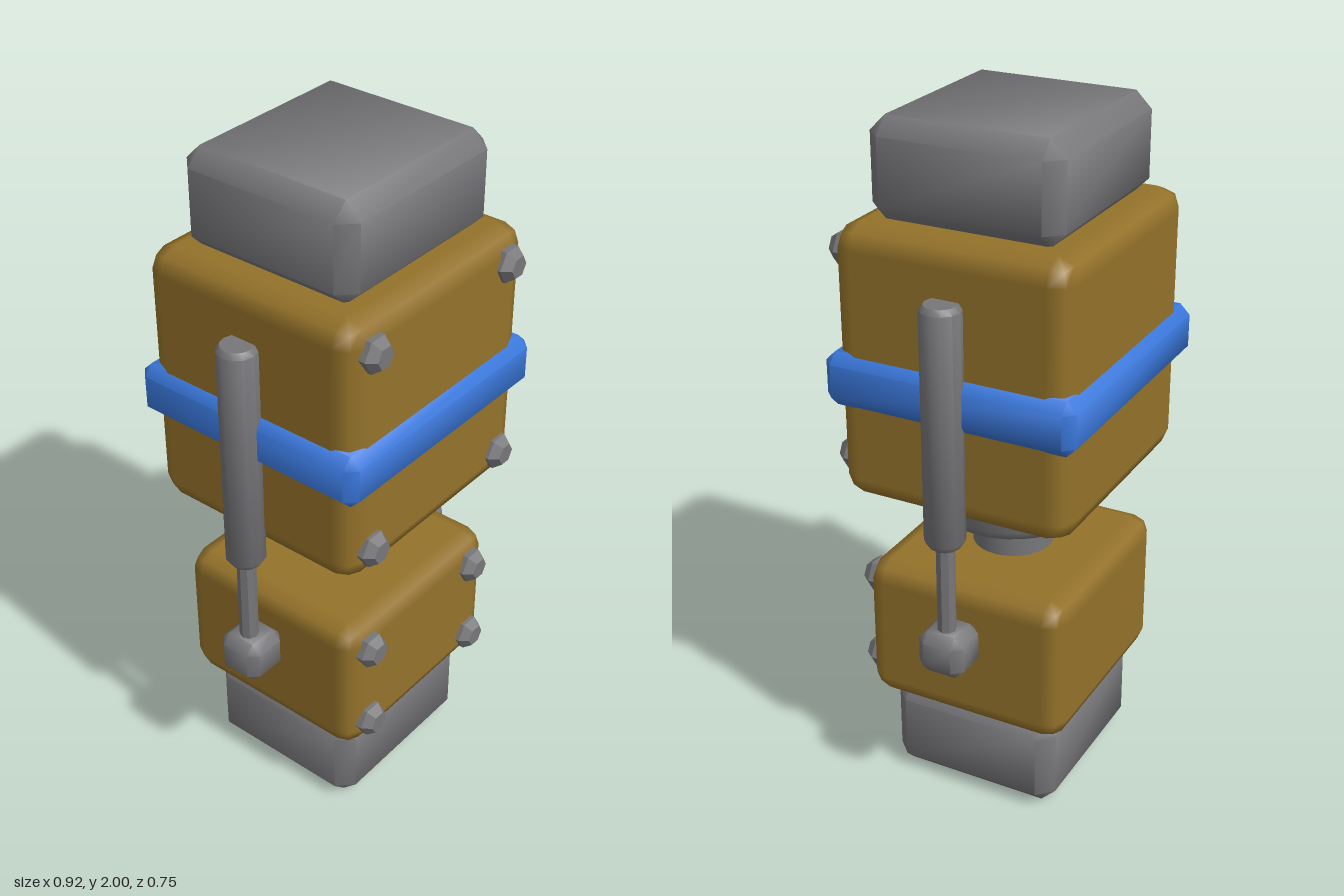
import * as THREE from 'three';
import { toCreasedNormals } from 'three/addons/utils/BufferGeometryUtils.js';
import { RoundedBoxGeometry } from 'three/addons/geometries/RoundedBoxGeometry.js';
import { ConvexGeometry } from 'three/addons/geometries/ConvexGeometry.js';

const CZ = -0.005; // depth of the main axis

const grey = new THREE.MeshStandardMaterial({ color: 0x77777a });
const ochre = new THREE.MeshStandardMaterial({ color: 0x94722a });
const blue = new THREE.MeshStandardMaterial({ color: 0x3a78dc });

// Box with a single 45 degree chamfer on every edge
function chamferBox(w, h, d, c) {
  const points = [];
  for (const sx of [-1, 1]) for (const sy of [-1, 1]) for (const sz of [-1, 1]) {
    for (let axis = 0; axis < 3; axis++) {
      const inset = [c, c, c];
      inset[axis] = 0;
      points.push(new THREE.Vector3(
        sx * (w / 2 - inset[0]), sy * (h / 2 - inset[1]), sz * (d / 2 - inset[2])));
    }
  }
  return toCreasedNormals(new ConvexGeometry(points), 1.0);
}

// Turned part: profile of [radius, height] pairs from bottom to top
function turned(profile, sides, crease) {
  const points = profile.map(([r, y]) => new THREE.Vector2(r, y));
  return toCreasedNormals(new THREE.LatheGeometry(points, sides), crease);
}

export function createModel() {
  const group = new THREE.Group();
  const add = (name, geometry, material, x, y, z, parent = group) => {
    const mesh = new THREE.Mesh(geometry, material);
    mesh.name = name;
    mesh.position.set(x, y, z);
    parent.add(mesh);
    return mesh;
  };

  // Stacked blocks
  add('bottomBlock', chamferBox(0.56, 0.285, 0.52, 0.045), grey, 0, 0.1425, CZ);
  add('lowerHousing', new RoundedBoxGeometry(0.65, 0.44, 0.62, 1, 0.06), ochre, 0, 0.497, CZ);
  add('upperHousing', new RoundedBoxGeometry(0.745, 0.785, 0.69, 1, 0.065), ochre, 0, 1.338, CZ);
  add('topBlock', chamferBox(0.6, 0.28, 0.555, 0.046), grey, 0, 1.86, CZ);
  add('band', chamferBox(0.795, 0.155, 0.74, 0.03), blue, 0, 1.3, CZ);

  // Joint between the housings
  add('neck', turned([[0, 0.66], [0.117, 0.66], [0.117, 0.87], [0, 0.87]], 32, 0.6), grey, 0, 0, CZ);
  add('collar', turned([[0, 0.82], [0.195, 0.82], [0.217, 0.83], [0.23, 0.855], [0.23, 0.98], [0, 0.98]], 32, 0.7),
    grey, 0, 0, CZ);

  // Piston on each side
  const sleeve = turned([[0, 0.89], [0.043, 0.89], [0.057, 0.91], [0.057, 1.57], [0.045, 1.585], [0, 1.585]], 12, 0.8);
  const rod = turned([[0, 0.54], [0.027, 0.54], [0.027, 0.92], [0, 0.92]], 8, 0.5);
  const foot = chamferBox(0.14, 0.13, 0.14, 0.028);
  for (const [side, s] of [['left', 1], ['right', -1]]) {
    const piston = new THREE.Group();
    piston.name = side + 'Piston';
    add('sleeve', sleeve, grey, s * 0.396, 0, CZ, piston);
    add('rod', rod, grey, s * 0.396, 0, CZ, piston);
    add('foot', foot, grey, s * 0.388, 0.56, CZ, piston);
    group.add(piston);
  }

  // Hexagonal bolts on the front of both housings
  const bolt = turned([[0, 0], [0.052, 0], [0.052, 0.03], [0.032, 0.055], [0, 0.055]], 6, 0.3);
  bolt.rotateY(Math.PI / 6).rotateX(Math.PI / 2);
  const boltRows = [
    ['upperBolt', 0.282, 1.64, 0.32], ['upperBolt', 0.282, 1.04, 0.32],
    ['lowerBolt', 0.238, 0.63, 0.287], ['lowerBolt', 0.238, 0.365, 0.287],
  ];
  for (const [name, x, y, z] of boltRows) {
    for (const s of [-1, 1]) add(name, bolt, grey, s * x, y, z);
  }
  return group;
}
